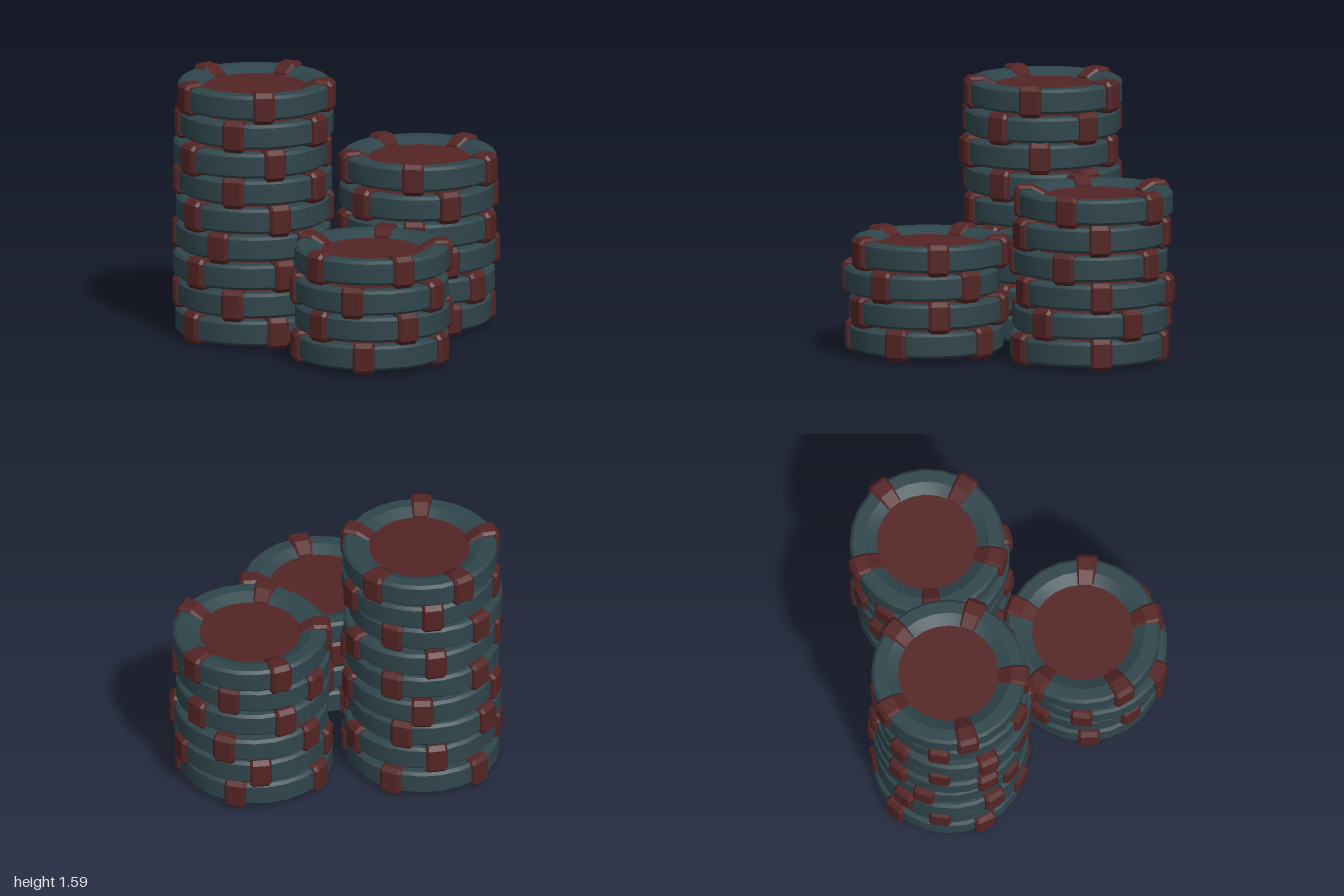
import * as THREE from 'three';
import { toCreasedNormals, mergeGeometries } from 'three/addons/utils/BufferGeometryUtils.js';

const SEGMENTS = 24;
const SPACING = 0.174;

// Each chip: [centre x, centre z, turn in degrees], listed from the bottom up
const STACKS = [
  { name: 'tallStack', base: 0.102, chips: [
    [-0.515, 0.45, -8], [-0.5, 0.45, 28], [-0.515, 0.465, -1], [-0.51, 0.445, 17], [-0.505, 0.455, -7],
    [-0.5, 0.445, 28], [-0.5, 0.48, -9], [-0.49, 0.44, 27], [-0.508, 0.433, -21]] },
  { name: 'shortStack', base: 0.12, chips: [
    [0.49, 0.455, -33], [0.495, 0.45, 0], [0.51, 0.475, 30], [0.48, 0.44, -3]] },
  { name: 'middleStack', base: 0.11, chips: [
    [0, -0.42, 1], [0, -0.45, 23], [-0.01, -0.465, -4], [0, -0.445, -30], [0, -0.44, -2], [-0.015, -0.475, -32]] },
];

// Ring with a raised rim and chamfered edges, open in the middle
function ringGeometry() {
  const top = [[0.465, 0.058], [0.447, 0.075], [0.375, 0.075], [0.305, 0.04]];
  const bottom = top.map(([r, y]) => [r, -y]).reverse();
  const points = [...bottom, ...top].map(([r, y]) => new THREE.Vector2(r, y));
  return toCreasedNormals(new THREE.LatheGeometry(points, SEGMENTS), 0.45);
}

// Five bevelled clamps that wrap the rim, narrowing towards the middle
function clampsGeometry() {
  const top = [[0.488, 0.07], [0.462, 0.097], [0.38, 0.097], [0.3, 0.052]];
  const bottom = top.map(([r, y]) => [r, -y]).reverse();
  const shape = new THREE.Shape([...bottom, ...top].map(([r, y]) => new THREE.Vector2(r, y)));
  const clamp = new THREE.ExtrudeGeometry(shape, {
    depth: 0.1, bevelEnabled: true, bevelSegments: 1,
    bevelSize: 0.016, bevelThickness: 0.018, bevelOffset: -0.016,
  });
  clamp.translate(0, 0, -0.05);
  const p = clamp.attributes.position;
  for (let i = 0; i < p.count; i++) {
    const t = (p.getX(i) - 0.3) / 0.188;
    p.setZ(i, p.getZ(i) * THREE.MathUtils.lerp(0.76, 1, t));
  }
  const copies = [];
  for (let i = 0; i < 5; i++) {
    copies.push(clamp.clone().rotateY(i * Math.PI * 2 / 5 - Math.PI / 2));
  }
  return toCreasedNormals(mergeGeometries(copies), 0.3);
}

export function createModel() {
  const teal = new THREE.MeshStandardMaterial({ color: 0x2f454b });
  teal.name = 'dark teal';
  const red = new THREE.MeshStandardMaterial({ color: 0x532424 });
  red.name = 'dark red';

  const parts = [
    ['rim', ringGeometry(), teal],
    ['centreDisc', new THREE.CylinderGeometry(0.305, 0.305, 0.08, SEGMENTS), red],
    ['edgeClamps', clampsGeometry(), red],
  ];

  const model = new THREE.Group();
  model.name = 'chipStacks';
  for (const { name, base, chips } of STACKS) {
    const stack = new THREE.Group();
    stack.name = name;
    chips.forEach(([x, z, turn], i) => {
      const chip = new THREE.Group();
      chip.name = 'chip';
      for (const [partName, geometry, material] of parts) {
        const mesh = new THREE.Mesh(geometry, material);
        mesh.name = partName;
        chip.add(mesh);
      }
      chip.position.set(x, base + i * SPACING, z);
      chip.rotation.y = THREE.MathUtils.degToRad(turn);
      stack.add(chip);
    });
    model.add(stack);
  }
  return model;
}
